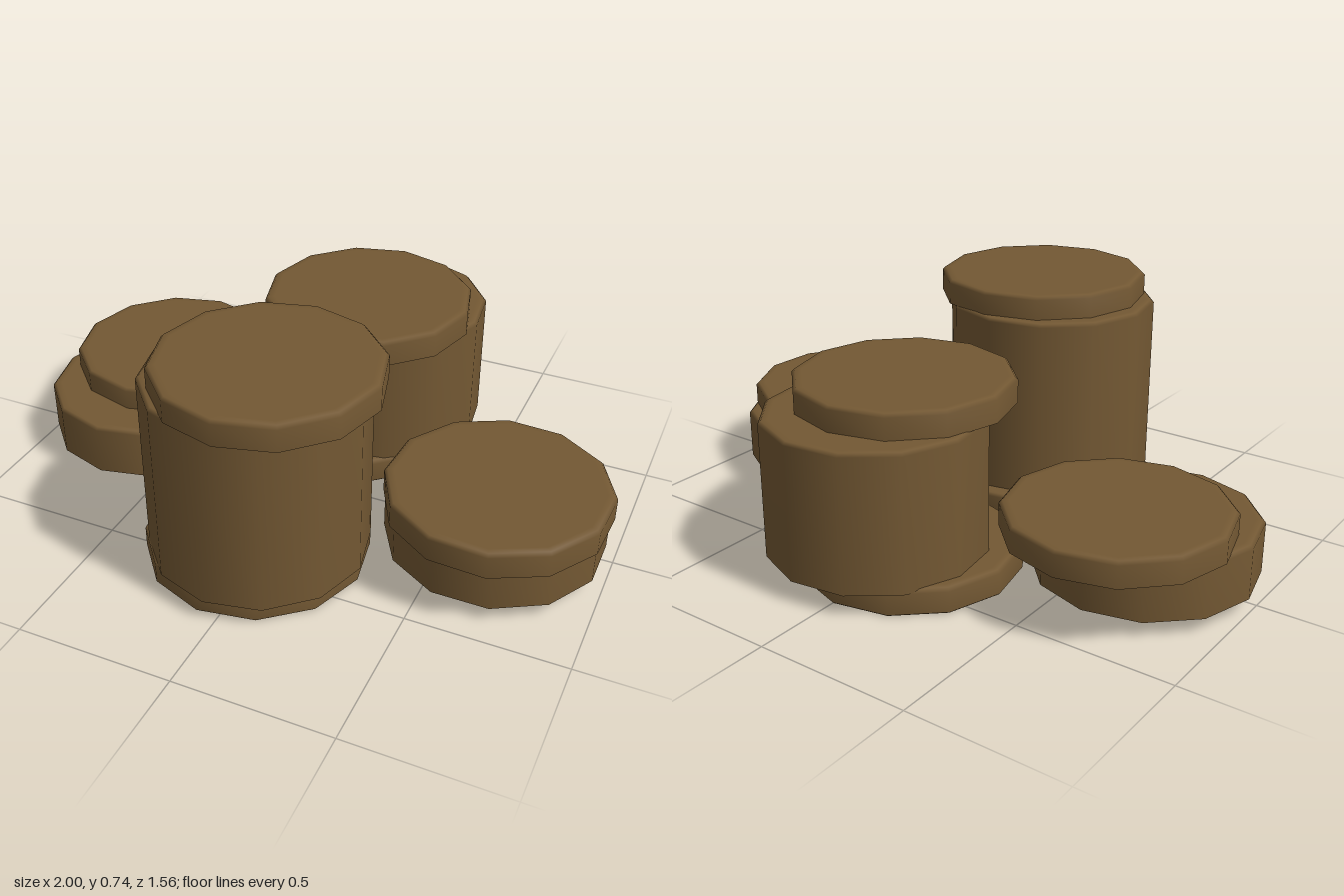
import * as THREE from 'three';

const SIDES = 12;

// Twelve-sided disc or drum with a softened top rim; open below unless recessed
function drum(name, material, [x, z], y0, y1, r, turn, recessed = false) {
  const h = y1 - y0;
  const b = 0.01;
  const profile = [];
  if (recessed) profile.push([0, 0.05], [0.28, 0.05], [r - 0.004, 0]); // hollowed underside
  profile.push([r, recessed ? 0.004 : 0], [r, h - b], [r - b, h], [r - 0.03, h], [0, h]);
  const points = profile.map(([px, py]) => new THREE.Vector2(px, py));
  const mesh = new THREE.Mesh(new THREE.LatheGeometry(points, SIDES), material);
  mesh.name = name;
  mesh.position.set(x, y0, z);
  mesh.rotation.y = THREE.MathUtils.degToRad(turn);
  return mesh;
}

export function createModel() {
  const model = new THREE.Group();
  model.name = 'drumCluster';
  const brown = new THREE.MeshStandardMaterial({ color: 0x735833, side: THREE.DoubleSide });
  brown.name = 'brown';

  // Each layer: name, centre [x, z], bottom, top, radius, turn in degrees, recessed
  const stacks = {
    frontStack: [
      ['base', [-0.04, 0.37], 0, 0.08, 0.352, -5, true],
      ['body', [-0.012, 0.41], 0.075, 0.665, 0.342, -3],
      ['lid', [0.042, 0.436], 0.66, 0.74, 0.343, 0],
    ],
    backStack: [
      ['base', [-0.02, -0.37], 0, 0.08, 0.345, -3, true],
      ['body', [0.052, -0.44], 0.072, 0.508, 0.345, -7],
      ['lid', [0.042, -0.315], 0.505, 0.587, 0.343, 0],
    ],
    leftStack: [
      ['body', [0.638, 0.08], 0.05, 0.222, 0.345, 15],
      ['lid', [0.655, 0.14], 0.218, 0.3, 0.348, 12],
    ],
    rightStack: [
      ['body', [-0.657, -0.05], 0.05, 0.22, 0.344, -2],
      ['lid', [-0.64, -0.195], 0.216, 0.296, 0.343, 0],
    ],
  };

  for (const [stackName, layers] of Object.entries(stacks)) {
    const stack = new THREE.Group();
    stack.name = stackName;
    for (const [name, ...dims] of layers) stack.add(drum(name, brown, ...dims));
    model.add(stack);
  }
  return model;
}
